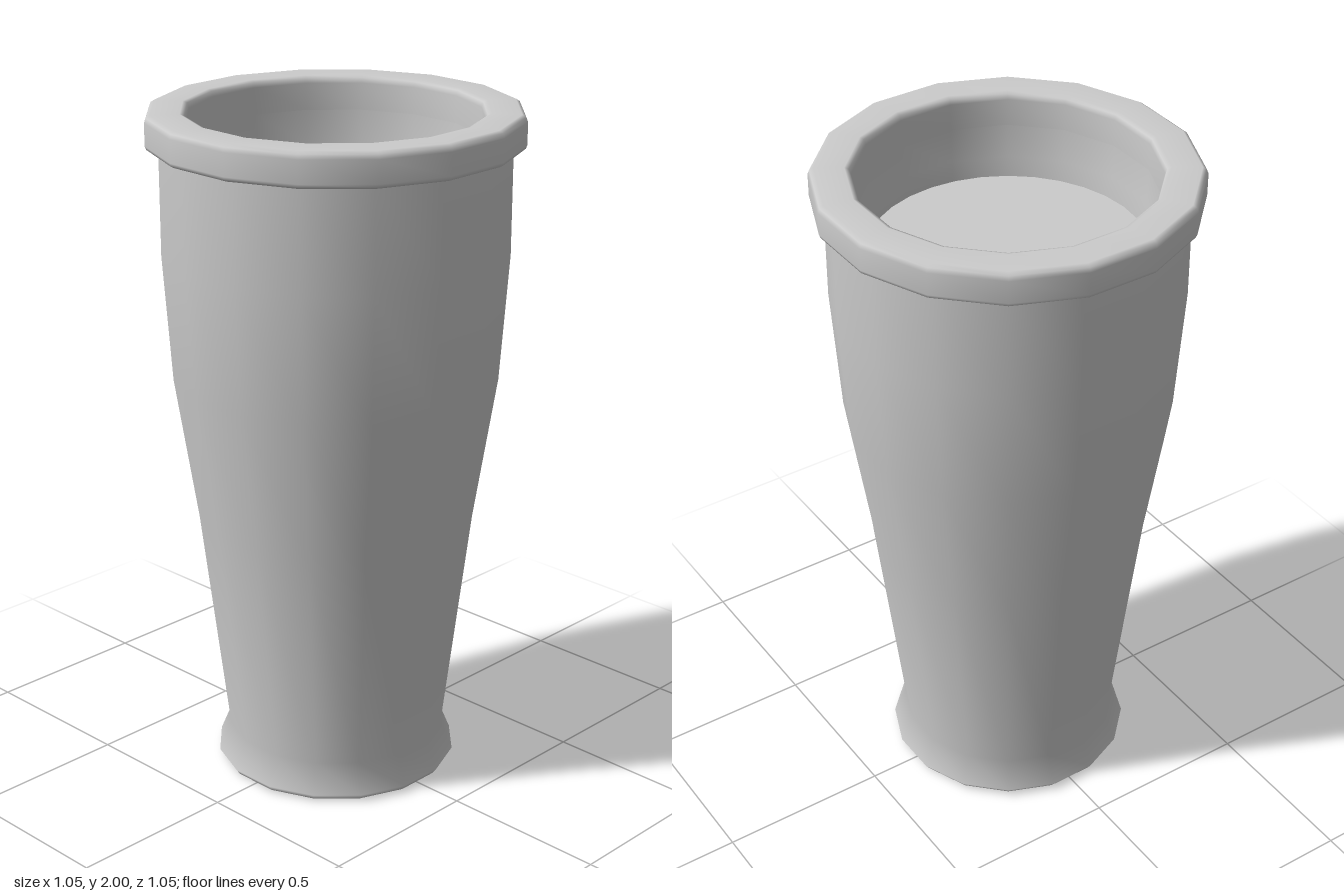
import * as THREE from 'three';

const SIDES = 16;
const material = new THREE.MeshStandardMaterial({ color: 0xcccccc });

// Revolves [radius, height] pairs, with flat sides facing the four axes.
function revolve(name, profile, sides = SIDES) {
  const points = profile.map(([r, y]) => new THREE.Vector2(r, y));
  const geometry = new THREE.LatheGeometry(points, sides, Math.PI / sides);
  const mesh = new THREE.Mesh(geometry, material);
  mesh.name = name;
  return mesh;
}

export function createModel() {
  const model = new THREE.Group();
  model.name = 'drinkingGlass';

  // Outer shell: flat base, flared foot, tapering wall
  model.add(revolve('outerWall', [
    [0, 0], [0.335, 0], [0.35, 0.005], [0.362, 0.022], [0.326, 0.11],
    [0.408, 0.8], [0.474, 1.23], [0.499, 1.6], [0.499, 1.91],
  ]));

  // Overhanging lip with softened edges
  model.add(revolve('rim', [
    [0.49, 1.9], [0.522, 1.9], [0.532, 1.905], [0.536, 1.915],
    [0.536, 1.98], [0.531, 1.993], [0.52, 2], [0.437, 2],
    [0.425, 1.995], [0.42, 1.98], [0.42, 1.9],
  ]));

  // Inside of the glass, from the lip down to the floor
  model.add(revolve('innerWall', [
    [0.42, 1.9], [0.417, 1.8], [0.405, 1.72], [0.4, 1.23],
    [0.34, 0.8], [0.26, 0.12], [0, 0.12],
  ]));

  // Contents, seen as a round level surface
  const contents = new THREE.Mesh(
    new THREE.CylinderGeometry(0.392, 0.25, 1.61, 32), material);
  contents.name = 'contents';
  contents.position.y = 0.945;
  model.add(contents);

  return model;
}
